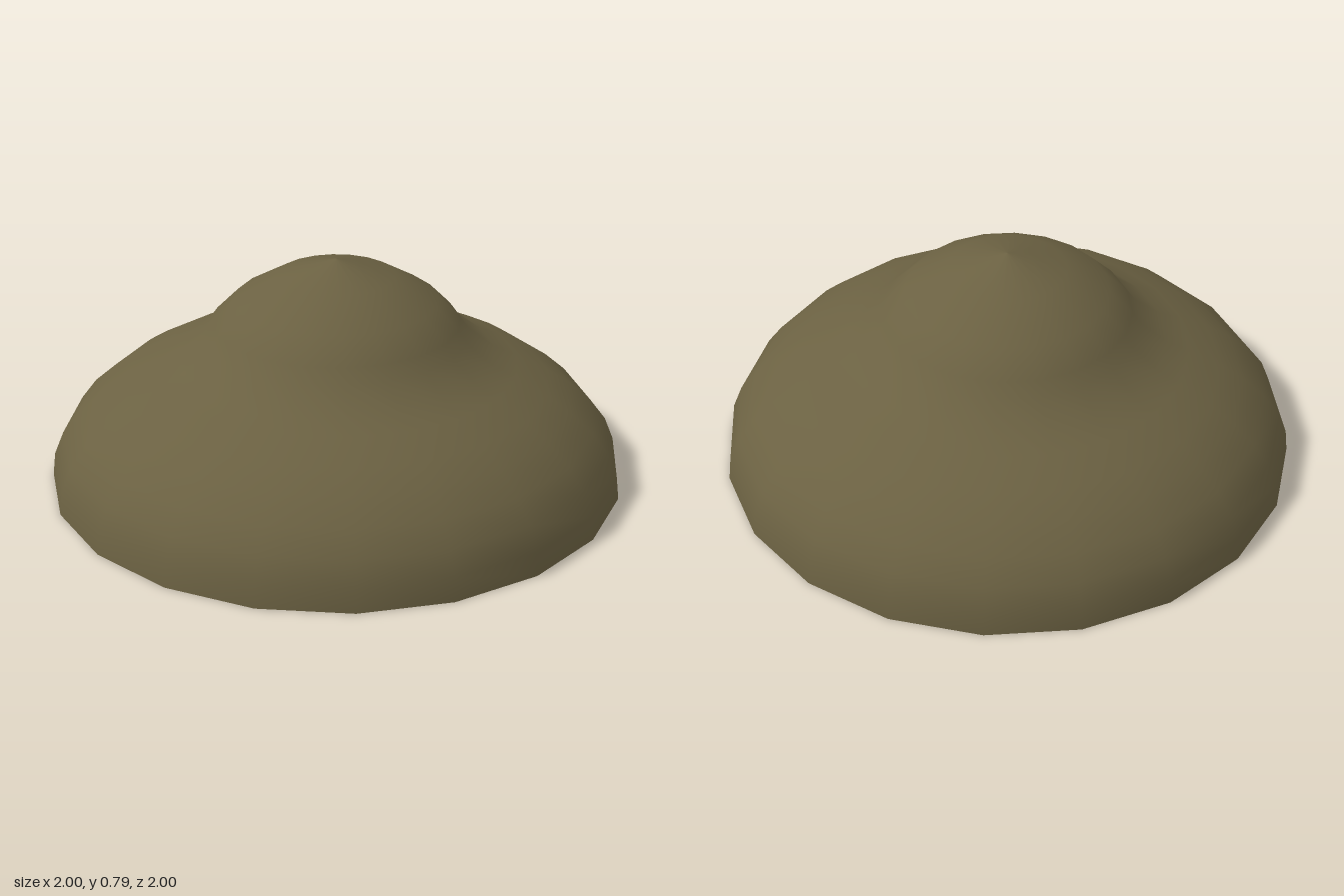
import * as THREE from 'three';

export function createModel() {
  const group = new THREE.Group();
  const material = new THREE.MeshStandardMaterial({ color: 0x6b6142 });
  const sides = 20;

  // Wide skirt flowing through a hollow neck into a rounded crown
  const profile = [
    [1, 0], [0.99, 0.08], [0.957, 0.16], [0.9, 0.235], [0.82, 0.305],
    [0.74, 0.357], [0.63, 0.415], [0.55, 0.449], [0.46, 0.52],
    [0.428, 0.565], [0.35, 0.643], [0.203, 0.727], [0, 0.785],
  ].map(([r, y]) => new THREE.Vector2(r, y));
  const dome = new THREE.Mesh(new THREE.LatheGeometry(profile, sides), material);
  dome.name = 'dome';
  group.add(dome);

  // Flat underside
  const underside = new THREE.Mesh(new THREE.CircleGeometry(1, sides).rotateX(Math.PI / 2), material);
  underside.name = 'underside';
  group.add(underside);

  return group;
}
